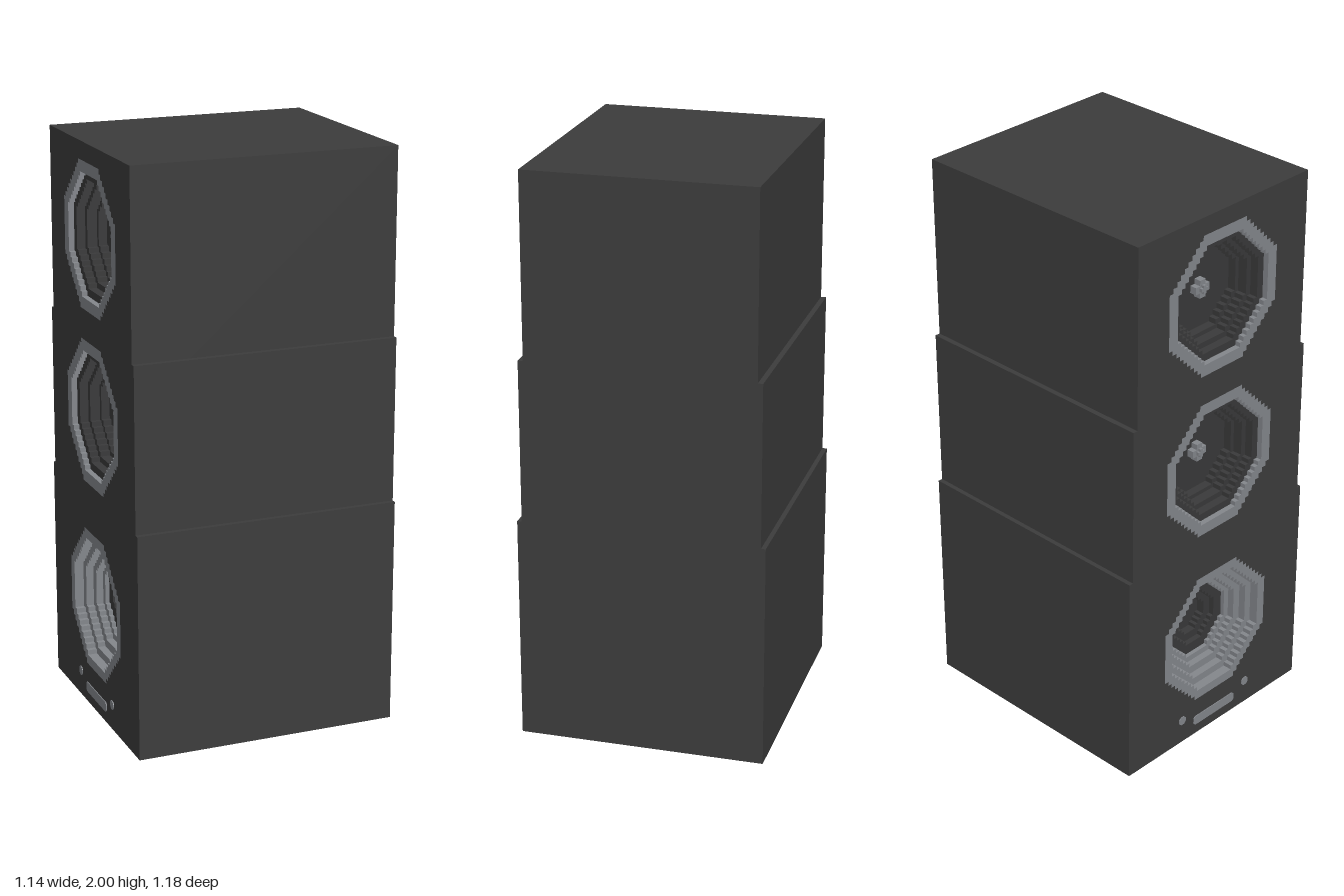
import * as THREE from 'three';

const mat = (name, color) => new THREE.MeshStandardMaterial({ name, color });

const FRONT = 0.463;   // local z of the front face
const BAFFLE = 0.2;    // thickness of the panel holding the drivers
const RIM = 0.252;     // outer radius of every driver

// Octagon outline whose diagonals are small stairs
function steppedPoints(r) {
  const a = r * 0.4, n = Math.max(1, Math.round((r - a) / 0.0165)), s = (r - a) / n;
  const quarter = [new THREE.Vector2(r, a)];
  for (let k = 0; k < n; k++) {
    quarter.push(new THREE.Vector2(r - (k + 1) * s, a + k * s));
    quarter.push(new THREE.Vector2(r - (k + 1) * s, a + (k + 1) * s));
  }
  const points = [];
  for (let q = 0; q < 4; q++) {
    for (const p of quarter) {
      let { x, y } = p;
      for (let i = 0; i < q; i++) [x, y] = [-y, x];
      points.push(new THREE.Vector2(x, y));
    }
  }
  return points;
}

export function createModel() {
  const body = mat('cabinet charcoal', 0x3d3d3d);
  const lining = mat('cone charcoal', 0x3a3a3b);
  const grey = mat('metal grey', 0x85888d);

  const model = new THREE.Group();
  model.name = 'loudspeaker';

  function add(parent, name, geometry, material, x, y, z) {
    const mesh = new THREE.Mesh(geometry, material);
    mesh.name = name;
    mesh.position.set(x, y, z);
    parent.add(mesh);
    return mesh;
  }

  // Stepped slab between two depths behind the front, with an optional hole
  function slab(parent, name, material, outer, inner, from, to) {
    const shape = new THREE.Shape(steppedPoints(outer));
    if (inner) shape.holes.push(new THREE.Path(steppedPoints(inner)));
    const geometry = new THREE.ExtrudeGeometry(shape, { depth: to - from, bevelEnabled: false });
    add(parent, name, geometry, material, 0, 0, FRONT - to);
  }

  // Cabinet section: solid back plus a front panel cut for its driver
  function cabinet(name, halfWidth, y0, y1, driverY) {
    const section = new THREE.Group();
    section.name = name;
    const depth = 2 * FRONT - BAFFLE;
    add(section, 'cabinetBack', new THREE.BoxGeometry(halfWidth * 2, y1 - y0, depth), body,
      0, (y0 + y1) / 2, -BAFFLE / 2);
    const panel = new THREE.Shape([
      new THREE.Vector2(-halfWidth, y0), new THREE.Vector2(halfWidth, y0),
      new THREE.Vector2(halfWidth, y1), new THREE.Vector2(-halfWidth, y1),
    ]);
    panel.holes.push(new THREE.Path(
      steppedPoints(RIM).map((p) => new THREE.Vector2(p.x, p.y + driverY))));
    add(section, 'frontPanel',
      new THREE.ExtrudeGeometry(panel, { depth: BAFFLE, bevelEnabled: false }), body,
      0, 0, FRONT - BAFFLE);
    model.add(section);
  }

  // Driver: rings stepping inward, each [material, inner radius, end depth]
  function driver(name, y, rings) {
    const group = new THREE.Group();
    group.name = name;
    group.position.y = y;
    let depth = 0;
    rings.forEach(([material, inner, end], i) => {
      slab(group, i === 0 ? 'rim' : inner ? 'coneStep' : 'coneFloor', material, RIM, inner, depth, end);
      depth = end;
    });
    model.add(group);
    return group;
  }

  cabinet('lowerCabinet', 0.427, 0, 0.79, 0.398);
  cabinet('middleCabinet', 0.411, 0.79, 1.36, 1.075);
  cabinet('upperCabinet', 0.393, 1.36, 2, 1.685);

  // Two upper drivers with dark cones and a small centre cap
  for (const [name, y] of [['middleDriver', 1.075], ['upperDriver', 1.685]]) {
    const group = driver(name, y, [
      [grey, 0.212, 0.02], [lining, 0.185, 0.05], [lining, 0.165, 0.085],
      [lining, 0.15, 0.115], [lining, 0, 0.13],
    ]);
    slab(group, 'centreCap', grey, 0.032, 0, 0.09, 0.115);
    slab(group, 'centreCapTip', grey, 0.015, 0, 0.08, 0.09);
  }

  // Lower horn: pale flare around a dark throat
  driver('hornDriver', 0.398, [
    [grey, 0.218, 0.033], [grey, 0.19, 0.06], [grey, 0.16, 0.085], [grey, 0.138, 0.1],
    [lining, 0.1, 0.12], [lining, 0.07, 0.15], [lining, 0, 0.17],
  ]);

  // Small front details under the horn
  const plate = (halfW, halfH, c) => new THREE.ExtrudeGeometry(new THREE.Shape([
    [-halfW, -halfH + c], [-halfW + c, -halfH], [halfW - c, -halfH], [halfW, -halfH + c],
    [halfW, halfH - c], [halfW - c, halfH], [-halfW + c, halfH], [-halfW, halfH - c],
  ].map(([x, y]) => new THREE.Vector2(x, y))), { depth: 0.003, bevelEnabled: false });
  add(model, 'frontBar', plate(0.104, 0.018, 0.008), grey, 0, 0.057, FRONT);
  for (const side of [-1, 1]) {
    add(model, 'frontStud', plate(0.016, 0.016, 0.009), grey, side * 0.162, 0.092, FRONT);
  }

  // The whole cabinet is turned toward its right
  model.rotation.y = -0.391;
  const root = new THREE.Group();
  root.name = 'speakerTower';
  root.add(model);
  return root;
}
